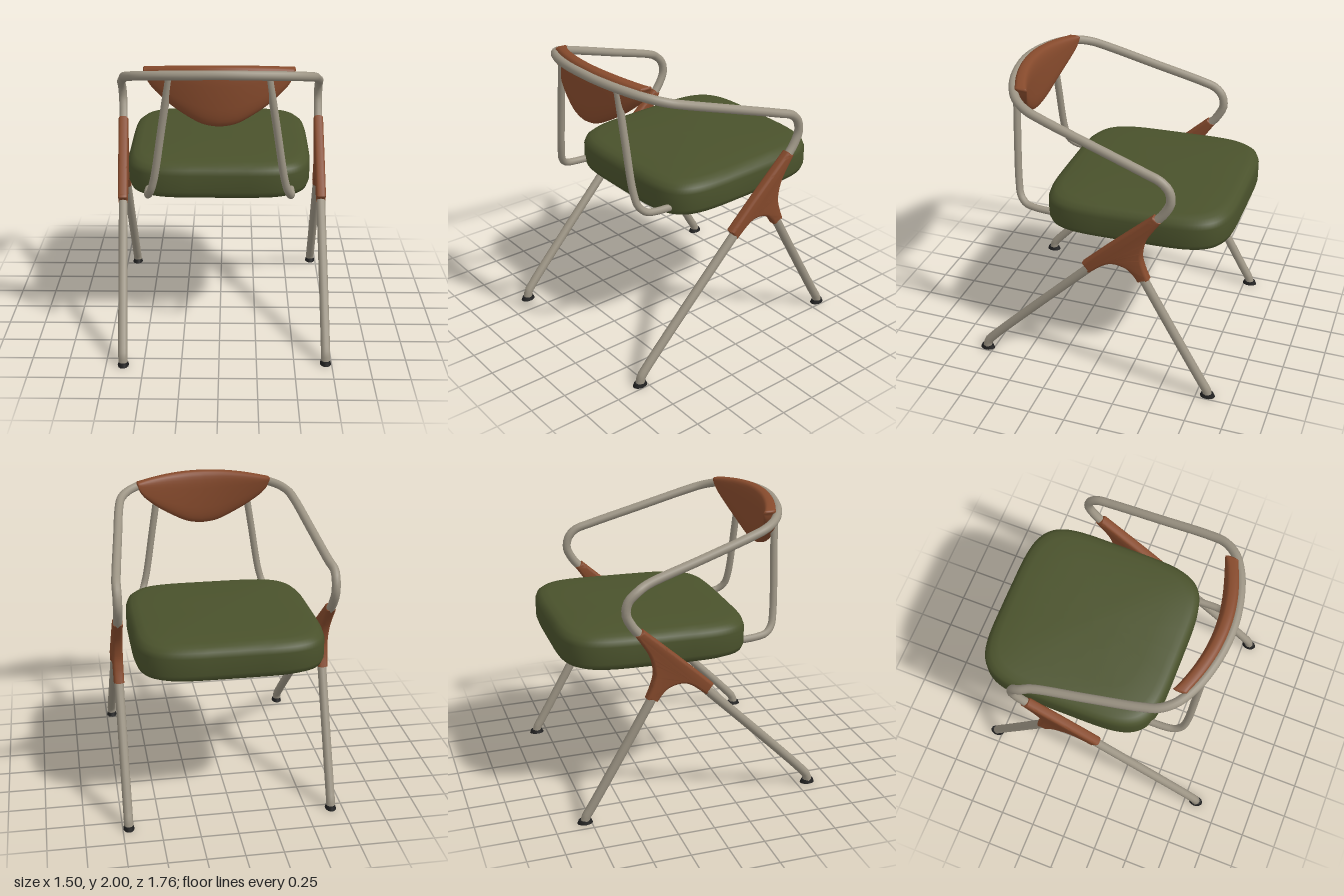
import * as THREE from 'three';
import { toCreasedNormals } from 'three/addons/utils/BufferGeometryUtils.js';

const mat = (name, color) => {
  const m = new THREE.MeshStandardMaterial({ color });
  m.name = name;
  return m;
};

// Smooth surface through rings of equal point count; end rings close to a point
function loft(rings) {
  const n = rings[0].length, pos = rings.flat(2), index = [];
  for (let i = 0; i < rings.length - 1; i++) {
    for (let j = 0; j < n; j++) {
      const k = (j + 1) % n;
      const a = i * n + j, b = i * n + k, c = b + n, d = a + n;
      index.push(a, b, c, a, c, d);
    }
  }
  const g = new THREE.BufferGeometry();
  g.setAttribute('position', new THREE.Float32BufferAttribute(pos, 3));
  g.setIndex(index);
  g.computeVertexNormals();
  return g;
}

// Point on a rounded square of half size 1
function squircle(t, n) {
  const c = Math.cos(t), s = Math.sin(t);
  return [Math.sign(c) * Math.abs(c) ** (2 / n), Math.sign(s) * Math.abs(s) ** (2 / n)];
}

function tube(points, radius, segments) {
  const curve = new THREE.CatmullRomCurve3(points.map(p => new THREE.Vector3(...p)), false, 'centripetal');
  return new THREE.TubeGeometry(curve, segments, radius, 12);
}

export function createModel() {
  const group = new THREE.Group();
  const metal = mat('warm grey metal', 0x9c9484);
  const wood = mat('brown wood', 0x864a2c);
  const fabric = mat('olive fabric', 0x4a522c);
  const rubber = mat('black rubber', 0x202020);
  const add = (name, geometry, material) => {
    const m = new THREE.Mesh(geometry, material);
    m.name = name;
    group.add(m);
    return m;
  };

  // Each side frame lies in its own, slightly skewed plane
  const sideX = (s, y, z) => s > 0 ? 0.71 : -0.653 - 0.037 * y + 0.0216 * z;
  const place = (s, z, y) => {
    const zs = z - 0.018 * s;
    return [sideX(s, y, zs), y, zs];
  };

  // Armrest hoop: one tube from joint to joint around the back
  const bend = [[-0.2, 1.09], [-0.43, 1.31], [-0.485, 1.38], [-0.52, 1.46], [-0.505, 1.54], [-0.45, 1.595]];
  const rail = [[0.7, -0.36], [0.66, 0], [0.62, 0.35], [0.595, 0.46], [0.53, 0.55], [0.4, 0.63], [0.2, 0.69]];
  const half = s => [
    ...bend.map(([z, y]) => place(s, z, y)),
    ...rail.map(([x, z]) => [s * x, 1.62 + 0.3 * (z + 0.4), z]),
  ];
  add('armrestHoop', tube([...half(-1), [0, 1.955, 0.71], ...half(1).reverse()], 0.03, 160), metal);

  // Outline of the three-armed joint, in (-z, y)
  const v = pts => pts.map(([x, y]) => new THREE.Vector2(x, y));
  const outline = new THREE.Shape();
  outline.moveTo(0.41, 1.345);
  outline.splineThru(v([[0.13, 1.09], [-0.07, 0.9]]));
  outline.lineTo(-0.02, 0.83);
  outline.splineThru(v([[0.08, 0.91], [0.15, 0.935], [0.23, 0.92], [0.28, 0.88], [0.315, 0.83]]));
  outline.lineTo(0.39, 0.86);
  outline.splineThru(v([[0.355, 0.95], [0.34, 1.04], [0.37, 1.16], [0.465, 1.31]]));
  outline.closePath();

  for (const s of [1, -1]) {
    const side = s > 0 ? 'left' : 'right';

    // Legs
    const rear = [[-0.2, 1.09], [0.02, 0.865], [0.4, 0.485], [0.765, 0.11], [0.805, 0.06], [0.815, 0.015]];
    const front = [[-0.27, 1.0], [-0.352, 0.845], [-0.56, 0.47], [-0.77, 0.1], [-0.8, 0.05], [-0.81, 0.015]];
    add(side + 'RearLeg', tube(rear.map(([z, y]) => place(s, z, y)), 0.031, 48), metal);
    add(side + 'FrontLeg', tube(front.map(([z, y]) => place(s, z, y)), 0.031, 48), metal);

    // Foot caps
    for (const [name, z] of [['RearFoot', 0.815], ['FrontFoot', -0.81]]) {
      const [x, , zf] = place(s, z, 0);
      const foot = add(side + name, new THREE.CylinderGeometry(0.042, 0.052, 0.025, 16), rubber);
      foot.scale.x = 0.72;
      foot.position.set(x, 0.0125, zf);
    }

    // Wooden joint, skewed into the plane of its side
    let g = new THREE.ExtrudeGeometry(outline, {
      depth: 0.03, bevelThickness: 0.019, bevelSize: 0.019, bevelOffset: -0.019, bevelSegments: 3, curveSegments: 16,
    });
    g.translate(0, 0, -0.015).rotateY(Math.PI / 2).translate(0, 0, -0.018 * s);
    const p = g.attributes.position;
    for (let i = 0; i < p.count; i++) p.setX(i, p.getX(i) + sideX(s, p.getY(i), p.getZ(i)));
    g.deleteAttribute('normal');
    g = toCreasedNormals(g, 0.8);
    add(side + 'Joint', g, wood);

    // Back support, from the hoop down and under the seat
    const support = [[0.31, 1.92, 0.645], [0.365, 1.58, 0.633], [0.42, 1.24, 0.615],
      [0.445, 1.15, 0.595], [0.465, 1.105, 0.55], [0.473, 1.09, 0.48], [0.473, 1.08, 0.34]];
    add(side + 'BackSupport', tube(support.map(([x, y, z]) => [s * x, y, z]), 0.025, 48), metal);
  }

  // Seat cushion: rounded-square rings of (height, inset)
  const profile = [[1.022, 0.627], [1.022, 0.12], [1.03, 0.045], [1.05, 0.012], [1.085, 0], [1.2, 0], [1.235, 0.012],
    [1.26, 0.04], [1.272, 0.085], [1.284, 0.22], [1.292, 0.45], [1.293, 0.627]];
  add('seat', loft(profile.map(([y, inset]) => {
    const k = 1 - inset / 0.627;
    return Array.from({ length: 96 }, (_, j) => {
      const [a, b] = squircle(j / 96 * Math.PI * 2, 4.8);
      const z = -0.643 * k * b;
      return [-0.007 + 0.627 * k * a, y - 0.025 * z, -0.222 + z];
    });
  })), fabric);

  // Backrest: curved panel from cross-sections along x
  const lower = new THREE.SplineCurve(v([[0, 1.612], [0.08, 1.622], [0.16, 1.653], [0.3, 1.738], [0.41, 1.83], [0.455, 1.89], [0.47, 1.935]]));
  const edge = [];
  for (let i = 0; i <= 20; i++) edge.push(lower.getPoint(i / 20));
  const stations = [...edge.slice(1).reverse().map(q => [-q.x, q.y]), ...edge.map(q => [q.x, q.y])];
  const section = (x, lo, shrink) => {
    const top = 2.0 - 0.17 * x * x;
    const mid = (top + lo) / 2, h = (top - lo) / 2 * shrink;
    const t = (0.057 - 0.06 * x * x) * shrink;
    return Array.from({ length: 32 }, (_, j) => {
      const [a, b] = squircle(j / 32 * Math.PI * 2, 3.2);
      return [x, mid + h * a, 0.656 - 0.5 * x * x + t * b];
    });
  };
  add('backrest', loft([
    section(-0.478, 1.94, 0), section(-0.477, 1.94, 0.6),
    ...stations.map(([x, lo]) => section(x, lo, 1)),
    section(0.477, 1.94, 0.6), section(0.478, 1.94, 0),
  ]), wood);

  return group;
}
